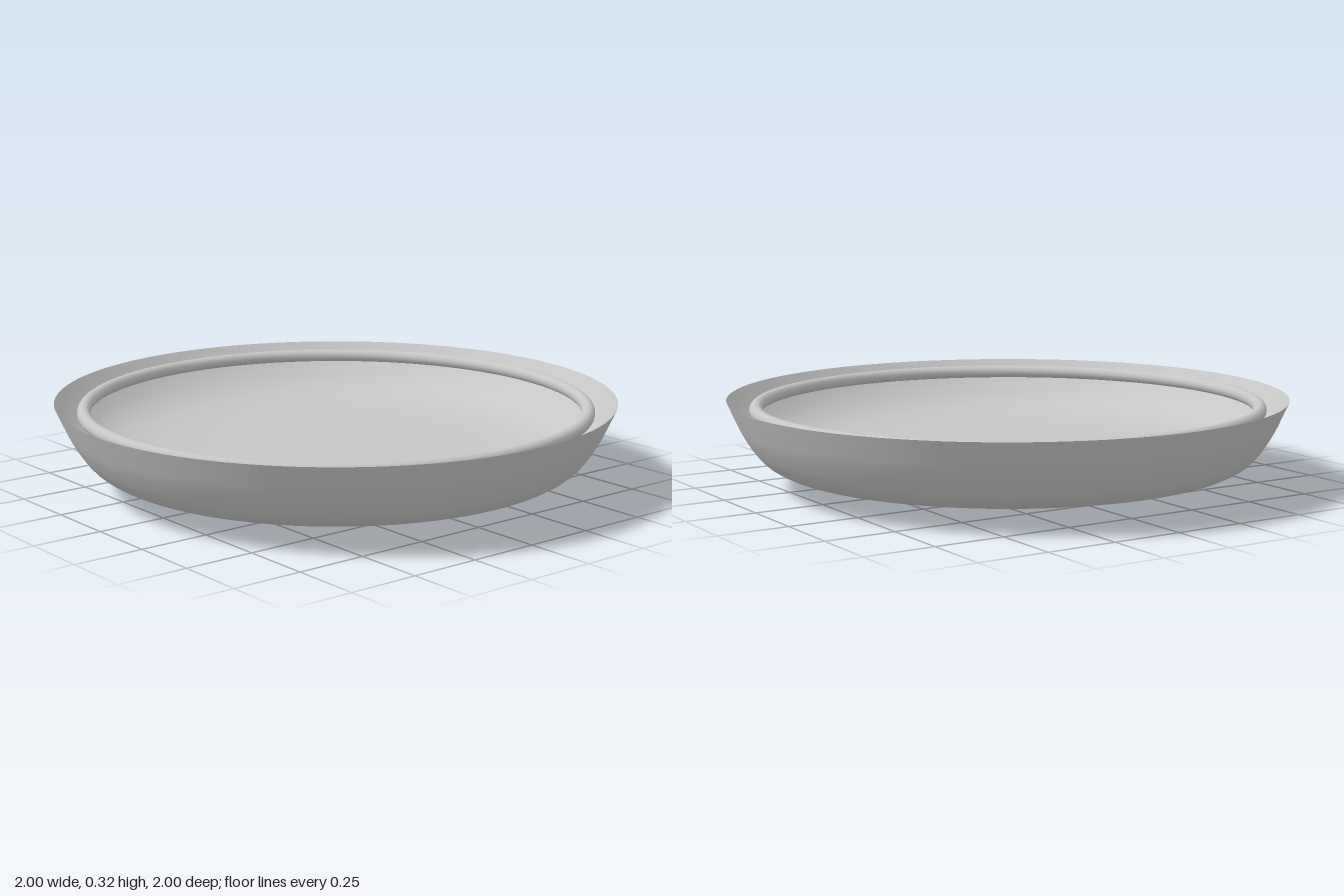
import * as THREE from 'three';

const SEGMENTS = 96;

// Smooth lathe profile through a few [radius, height] points
function profile(points) {
  return new THREE.SplineCurve(points.map(([r, y]) => new THREE.Vector2(r, y)))
    .getPoints(40)
    .map((p) => new THREE.Vector2(Math.max(p.x, 0), p.y));
}

export function createModel() {
  const group = new THREE.Group();
  const ceramic = new THREE.MeshStandardMaterial({ color: 0xc6c6c6 });
  ceramic.name = 'grey ceramic';

  function add(name, geometry, y = 0) {
    const mesh = new THREE.Mesh(geometry, ceramic);
    mesh.name = name;
    mesh.position.y = y;
    group.add(mesh);
  }

  // Horizontal ring with a round section
  function ring(radius, tube) {
    return new THREE.TorusGeometry(radius, tube, 16, SEGMENTS).rotateX(Math.PI / 2);
  }

  // Outside of the dish, from the centre of the base up to the rim
  add('dishOutside', new THREE.LatheGeometry(profile([
    [0, 0.06], [0.35, 0.057], [0.68, 0.055], [0.79, 0.066], [0.855, 0.092],
    [0.9, 0.132], [0.945, 0.2], [0.975, 0.262], [1, 0.318],
  ]), SEGMENTS));

  // Inside of the dish, from the sharp rim down to the gently hollow floor
  add('dishInside', new THREE.LatheGeometry(profile([
    [1, 0.318], [0.96, 0.267], [0.915, 0.221], [0.86, 0.18],
    [0.79, 0.15], [0.69, 0.131], [0.54, 0.121], [0.3, 0.116], [0, 0.114],
  ]), SEGMENTS));

  // Raised bead inside the rim and the foot ring below
  add('rimBead', ring(0.897, 0.024), 0.281);
  add('footRing', ring(0.325, 0.018), 0.018);

  return group;
}
